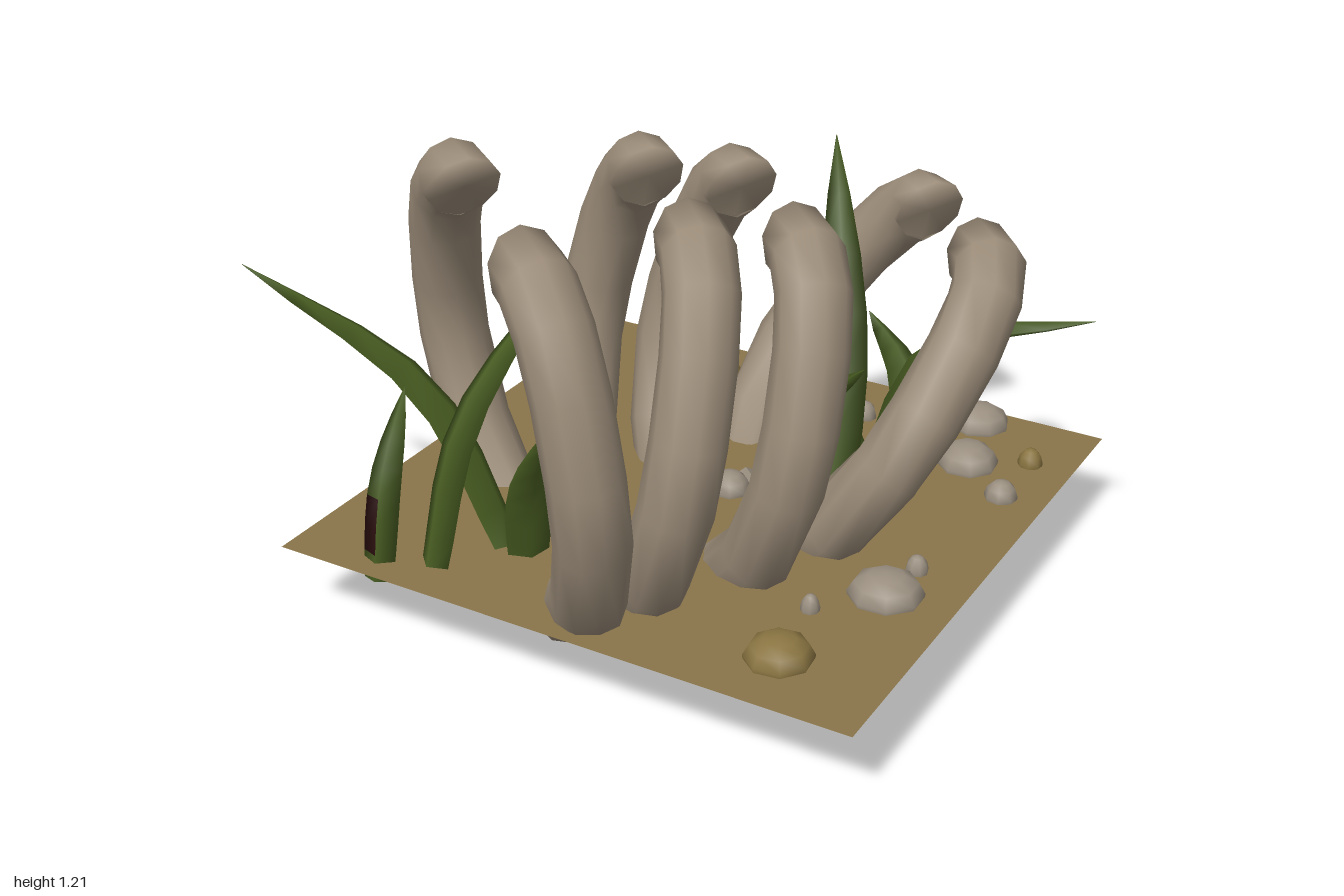
import * as THREE from 'three';

const mat = (name, color, side = THREE.FrontSide) => {
  const m = new THREE.MeshStandardMaterial({ color, side });
  m.name = name;
  return m;
};
const V = (x, y, z) => new THREE.Vector3(x, y, z);
const GROUND = 0.225;
const LOW = 0.11;

// Half outline of a rib pair: sideways distance and height, centre to tip
const PROFILE = [
  [0, 0.12], [0.22, LOW], [0.44, 0.3], [0.53, 0.53], [0.525, 0.7],
  [0.475, 0.89], [0.4, 1.02], [0.31, 1.085], [0.235, 1.09],
];

function indexed(pos, index) {
  const g = new THREE.BufferGeometry();
  g.setAttribute('position', new THREE.Float32BufferAttribute(pos, 3));
  g.setIndex(index);
  g.computeVertexNormals();
  return g;
}

// One U-shaped pair of ribs, leaning from its bottom centre to its top centre
function ribPair({ dir, bottom, top, width, height, lean, roll }, material) {
  const place = (side, [s, y]) => {
    const h = Math.max(0, (y - LOW) / (1.09 - LOW));
    const f = s ? Math.pow(h, lean) : 0;
    const d = side * s * width;
    return V(
      bottom[0] + (top[0] - bottom[0]) * f + dir[0] * d,
      LOW + h * (height - LOW) - roll * d,
      bottom[1] + (top[1] - bottom[1]) * f + dir[1] * d
    );
  };
  const points = [
    ...PROFILE.slice(1).reverse().map((p) => place(-1, p)),
    ...PROFILE.map((p) => place(1, p)),
  ];
  const axis = V(-dir[1], 0, dir[0]);
  const sides = 10, radius = 0.093, last = points.length - 1;
  const pos = [], index = [];
  points.forEach((p, i) => {
    const before = p.clone().sub(points[Math.max(i - 1, 0)]).normalize();
    const after = points[Math.min(i + 1, last)].clone().sub(p).normalize();
    const t = before.clone().add(after).normalize();
    const n = t.clone().cross(axis).normalize(); // towards the outside of the U
    const b = t.clone().cross(n);
    const end = i === 0 ? -1 : i === last ? 1 : 0;
    const miter = end ? 1 : 1 / Math.max(t.dot(after), 0.8);
    for (let k = 0; k < sides; k++) {
      const a = (k / sides) * Math.PI * 2;
      const v = p.clone()
        .addScaledVector(n, radius * miter * Math.cos(a))
        .addScaledVector(b, radius * Math.sin(a))
        .addScaledVector(t, end * 0.055 * Math.cos(a)); // slanted tips
      pos.push(v.x, v.y, v.z);
      if (i < last) {
        const q = i * sides + k, r = i * sides + (k + 1) % sides;
        index.push(q, r, q + sides, r, r + sides, q + sides);
      }
    }
  });
  // Caps on both tips
  [0, last].forEach((i, e) => {
    const centre = pos.length / 3;
    pos.push(...points[i].toArray());
    for (let k = 0; k < sides; k++) {
      const q = i * sides + k, r = i * sides + (k + 1) % sides;
      index.push(centre, ...(e ? [q, r] : [r, q]));
    }
  });
  const mesh = new THREE.Mesh(indexed(pos, index), material);
  mesh.name = 'ribPair';
  return mesh;
}

// Tapering grass blade with a diamond section; the listed sides are dark near the base
function blade(points, w, darkSides, materials) {
  const curve = new THREE.CatmullRomCurve3(points.map((p) => V(...p)));
  const span = curve.getPoint(1).sub(curve.getPoint(0));
  const across = V(-span.z, 0, span.x).normalize();
  const rings = 7, pos = [], green = [], dark = [];
  for (let i = 0; i <= rings; i++) {
    const t = i / rings;
    const c = curve.getPoint(t);
    const normal = across.clone().cross(curve.getTangent(t)).normalize();
    const r = w * (0.9 + 0.9 * t) * (1 - t * t) + 0.001;
    for (let k = 0; k < 4; k++) {
      const a = k * Math.PI / 2;
      const p = c.clone()
        .addScaledVector(across, r * Math.cos(a))
        .addScaledVector(normal, 0.6 * r * Math.sin(a));
      pos.push(p.x, p.y, p.z);
      if (i < rings) {
        const b = i * 4 + k, n = i * 4 + (k + 1) % 4;
        const isDark = i > 0 && i < 3 && darkSides.includes(k);
        (isDark ? dark : green).push(b, b + 4, n, n, b + 4, n + 4);
      }
    }
  }
  const g = indexed(pos, [...green, ...dark]);
  g.addGroup(0, green.length, 0);
  g.addGroup(green.length, dark.length, 1);
  const mesh = new THREE.Mesh(g, materials);
  mesh.name = 'grassBlade';
  return mesh;
}

export function createModel() {
  const root = new THREE.Group();
  root.name = 'buriedRibcage';
  const bone = mat('bone', 0x9a8b78);
  const earth = mat('earth', 0x8a754a, THREE.DoubleSide);
  const pebble = mat('greyStone', 0x9a8f80);
  const sand = mat('sandStone', 0x8a7542);
  const grass = mat('grass', 0x465a20, THREE.DoubleSide);
  const hollow = mat('darkHollow', 0x2a0c0c, THREE.DoubleSide);

  // Ground sheet
  const ground = new THREE.Mesh(new THREE.PlaneGeometry(1.6, 1.6).rotateX(-Math.PI / 2), earth);
  ground.position.set(0.09, GROUND, -0.04);
  ground.name = 'ground';
  root.add(ground);

  // Rib pairs, front to back
  const ribs = new THREE.Group();
  ribs.name = 'ribs';
  [
    { dir: [0.79, 0.61], bottom: [-0.22, 0.32], top: [-0.21, 0.48], width: 1.02, height: 1.1, lean: 0.7, roll: 0.07 },
    { dir: [0.69, 0.72], bottom: [-0.07, 0.23], top: [0.03, 0.08], width: 0.96, height: 1.06, lean: 1.2, roll: 0 },
    { dir: [0.74, 0.67], bottom: [0.09, 0.04], top: [0.22, -0.09], width: 0.87, height: 1.02, lean: 1.1, roll: 0 },
    { dir: [0.68, 0.73], bottom: [0.18, -0.16], top: [0.53, -0.55], width: 0.84, height: 0.87, lean: 1.12, roll: -0.05 },
  ].forEach((r) => ribs.add(ribPair(r, bone)));
  root.add(ribs);

  // Grass tufts: base, bend, tip, half width and dark sides
  const tufts = new THREE.Group();
  tufts.name = 'grass';
  [
    [[-0.21, 0.18, 0.45], [-0.48, 0.58, 0.43], [-1, 0.84, 0.49], 0.056, []],
    [[-0.33, 0.18, 0.64], [-0.31, 0.56, 0.5], [-0.22, 0.88, 0.19], 0.05, []],
    [[-0.46, 0.17, 0.69], [-0.46, 0.42, 0.64], [-0.49, 0.62, 0.5], 0.043, [1, 2]],
    [[-0.16, 0.19, 0.46], [-0.13, 0.42, 0.49], [-0.01, 0.66, 0.59], 0.055, [0, 1]],
    [[0.38, 0.12, -0.13], [0.33, 0.6, -0.31], [0.14, 1.05, -0.63], 0.066, []],
    [[0.43, 0.18, -0.34], [0.28, 0.5, -0.28], [0.22, 0.74, -0.2], 0.056, []],
    [[0.25, 0.2, -0.27], [0.34, 0.48, -0.2], [0.48, 0.64, -0.13], 0.05, []],
    [[0.42, 0.2, -0.27], [0.6, 0.66, -0.29], [0.99, 0.8, -0.36], 0.05, []],
    [[0.48, 0.2, -0.38], [0.45, 0.46, -0.47], [0.3, 0.6, -0.54], 0.05, []],
  ].forEach(([a, b, c, w, dark]) => tufts.add(blade([a, b, c], w, dark, [grass, hollow])));
  root.add(tufts);

  // Dark hollow on the underside of the ground
  const stones = new THREE.Group();
  stones.name = 'stones';
  const addHollow = (x, z, r, depth) => {
    const plug = new THREE.Mesh(new THREE.CylinderGeometry(r, r, depth, 8), hollow);
    plug.position.set(x, GROUND - 0.002 - depth / 2, z);
    plug.name = 'hollow';
    stones.add(plug);
  };

  // Half-buried stones: x, z, radius, material, hollow depth
  [
    [-0.27, -0.59, 0.15, sand], [0.61, 0.57, 0.088, sand], [0.77, -0.6, 0.035, sand],
    [0.56, -0.75, 0.085, pebble], [0.62, -0.52, 0.087, pebble], [0.77, -0.39, 0.045, pebble],
    [-0.55, -0.38, 0.058, pebble], [0.13, -0.07, 0.057, pebble, 0.04], [-0.18, 0.21, 0.093, pebble, 0.045],
    [0.12, 0.17, 0.057, pebble], [0.71, 0.2, 0.097, pebble], [0.26, -0.63, 0.035, pebble],
    [0.73, 0.06, 0.03, pebble], [0.58, 0.35, 0.025, pebble],
  ].forEach(([x, z, r, m, depth = 0.008], i) => {
    const g = new THREE.SphereGeometry(1, 8, 4, 0, Math.PI * 2, 0, Math.PI * 0.62);
    m.side = THREE.DoubleSide;
    const stone = new THREE.Mesh(g, m);
    stone.scale.set(r, 0.035 + r * 0.3, r * 0.97);
    stone.position.set(x, GROUND + 0.003, z);
    stone.rotation.y = i * 1.3;
    stone.name = 'stone';
    stones.add(stone);
    addHollow(x, z, r * 0.82, depth);
  });

  // Small bone shards lying between the ribs
  [[-0.29, 0.28, 0.4], [-0.1, 0.28, 2.1], [0.14, -0.14, 1.2]].forEach(([x, z, turn]) => {
    const shard = new THREE.Mesh(new THREE.ConeGeometry(0.08, 0.05, 3), pebble);
    shard.position.set(x, GROUND + 0.012, z);
    shard.rotation.y = turn;
    shard.name = 'boneShard';
    stones.add(shard);
    addHollow(x, z, 0.05, 0.035);
  });
  root.add(stones);
  return root;
}
